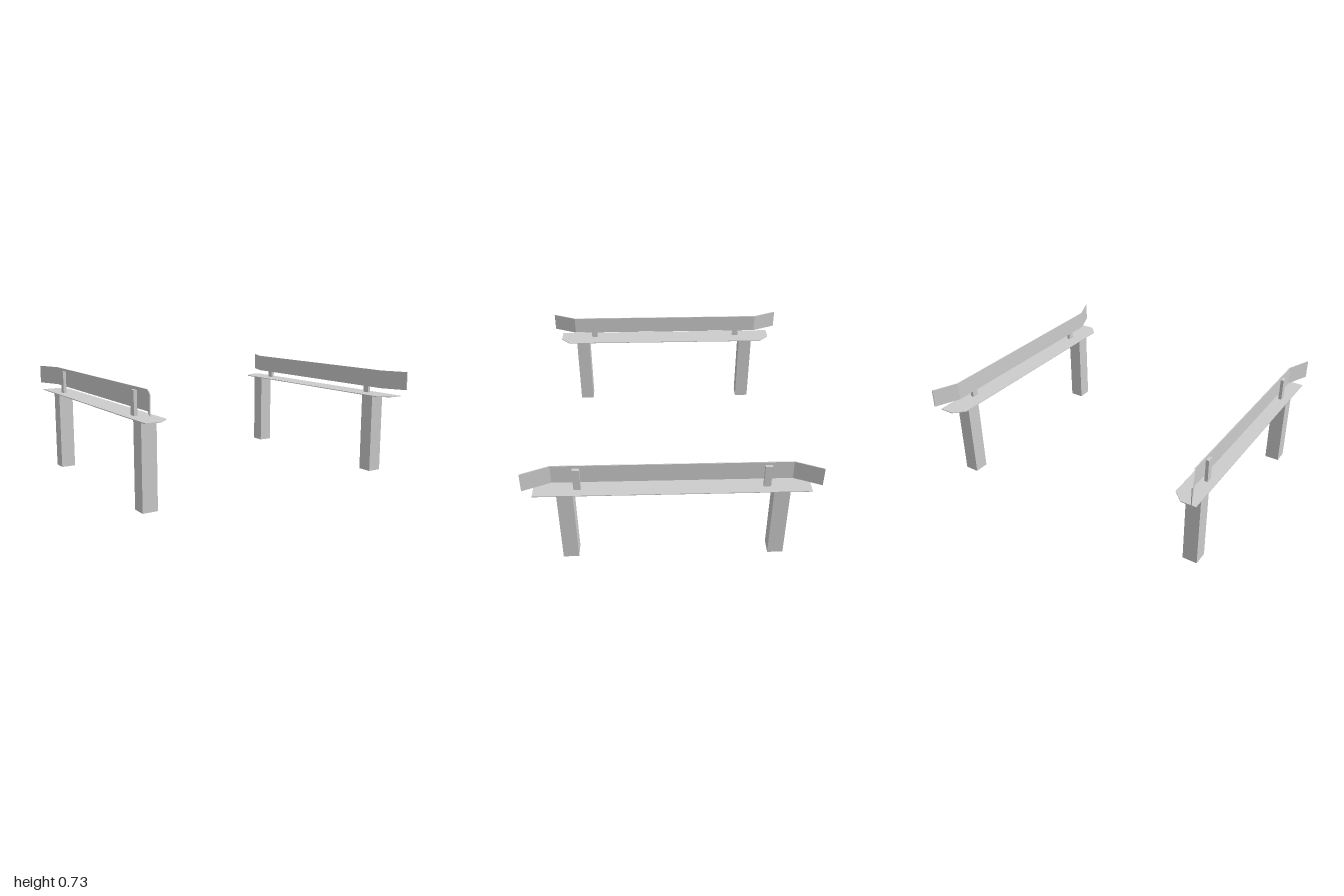
import * as THREE from 'three';

const grey = new THREE.MeshStandardMaterial({ color: 0xcccccc, flatShading: true, side: THREE.DoubleSide });
grey.name = 'light grey';

function addMesh(group, name, geometry, x = 0, y = 0, z = 0) {
  const mesh = new THREE.Mesh(geometry, grey);
  mesh.name = name;
  mesh.position.set(x, y, z);
  group.add(mesh);
}

// Extrude a plan outline of [x, z] points upwards
function slab(points, height) {
  const shape = new THREE.Shape(points.map(([x, z]) => new THREE.Vector2(x, -z)));
  return new THREE.ExtrudeGeometry(shape, { depth: height, bevelEnabled: false }).rotateX(-Math.PI / 2);
}

function createSide() {
  const side = new THREE.Group();

  // Square hollow legs, open at the foot
  for (const z of [0.656, -0.668]) {
    const leg = new THREE.CylinderGeometry(0.0707, 0.0707, 0.553, 4, 1, true).rotateY(Math.PI / 4);
    addMesh(side, 'leg', leg, 0.915, 0.2765, z);
  }

  // Thin shelf with its inner corners cut off
  const shelf = [
    [1, -0.842], [0.9, -0.842], [0.831, -0.775],
    [0.831, 0.775], [0.9, 0.845], [1, 0.845],
  ];
  addMesh(side, 'shelf', slab(shelf, 0.005), 0, 0.553);

  // Upright guard rail, flared outwards at both ends
  const inner = [[0.994, -0.896], [0.922, -0.728], [0.922, 0.73], [0.994, 0.901]];
  const outer = inner.map(([x, z]) => [x + 0.006, z]).reverse();
  addMesh(side, 'guardRail', slab([...inner, ...outer], 0.126), 0, 0.603);

  // Short posts holding the rail from outside
  for (const z of [0.578, -0.575]) {
    addMesh(side, 'railPost', new THREE.BoxGeometry(0.022, 0.155, 0.044), 0.938, 0.6325, z);
  }
  return side;
}

export function createModel() {
  const model = new THREE.Group();
  model.name = 'railPair';
  // The second side is the first turned half way round
  ['leftSide', 'rightSide'].forEach((name, i) => {
    const side = createSide();
    side.name = name;
    side.rotation.y = i * Math.PI;
    model.add(side);
  });
  return model;
}
